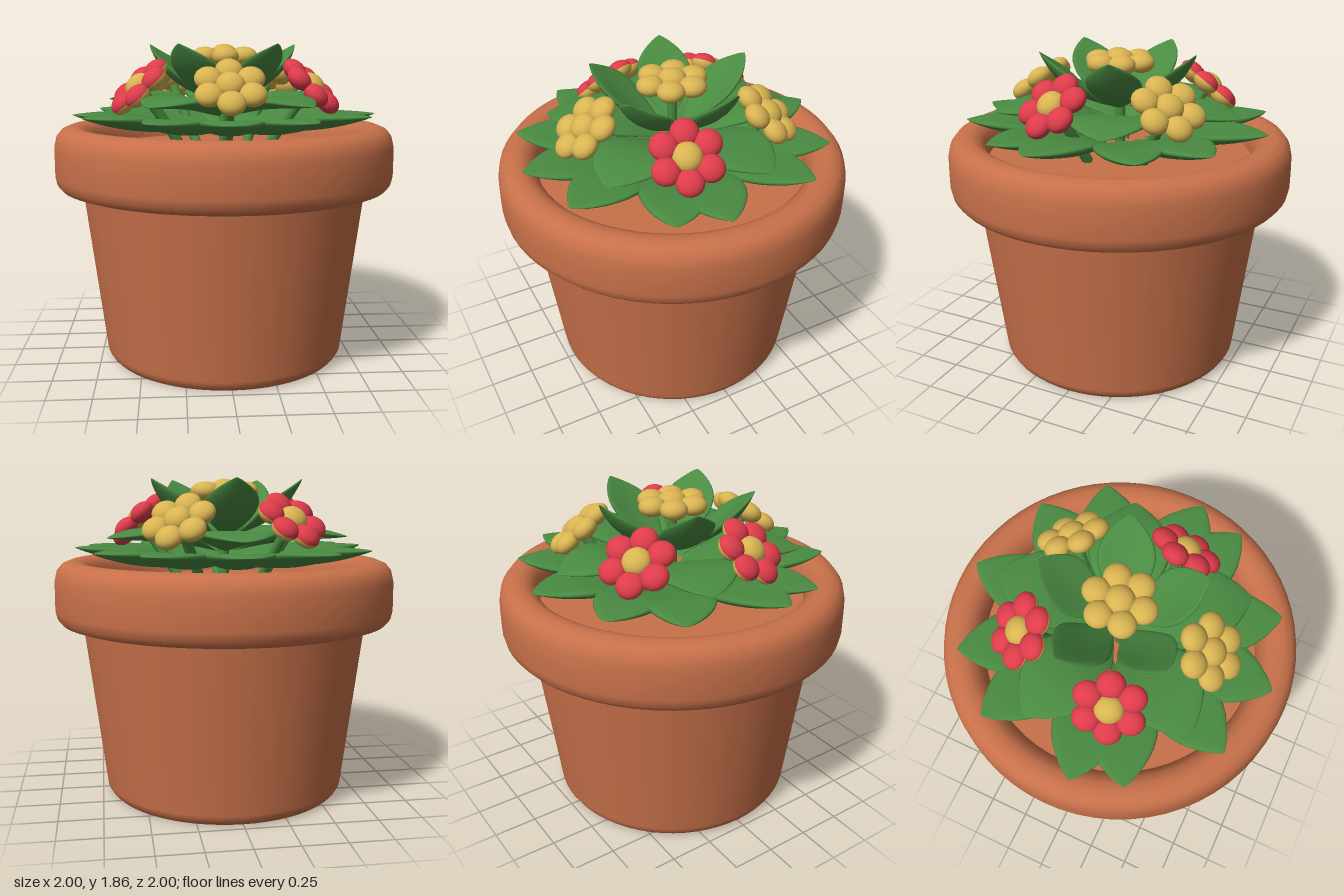
import * as THREE from 'three';
import { mergeVertices } from 'three/addons/utils/BufferGeometryUtils.js';

const mat = (name, color) => {
  const m = new THREE.MeshStandardMaterial({ color });
  m.name = name;
  return m;
};
const rad = THREE.MathUtils.degToRad;

export function createModel() {
  const terracotta = mat('terracotta', 0xc8714a);
  const green = mat('leaf green', 0x4a8b42);
  const yellow = mat('petal yellow', 0xd9b452);
  const red = mat('petal red', 0xde3c4b);
  const model = new THREE.Group();
  model.name = 'pottedPlant';

  const add = (parent, name, geometry, material) => {
    const mesh = new THREE.Mesh(geometry, material);
    mesh.name = name;
    parent.add(mesh);
    return mesh;
  };
  const lathe = (points) =>
    new THREE.LatheGeometry(points.map(([r, y]) => new THREE.Vector2(r, y)), 64);

  // Pot: tapered body, and a heavy rounded rim with a hollow inside
  add(model, 'potBase', new THREE.CircleGeometry(0.69, 64).rotateX(Math.PI / 2), terracotta);
  add(model, 'potBody', lathe([[0.69, 0], [0.705, 0.015], [0.72, 0.04], [0.723, 0.06],
    [0.78, 0.52], [0.84, 1.0], [0.842, 1.04]]), terracotta);
  add(model, 'potRim', lathe([[0.8, 1.025], [0.84, 1.02], [0.92, 1.02], [0.965, 1.035],
    [0.99, 1.065], [1, 1.11], [1, 1.2], [0.998, 1.28], [0.985, 1.335], [0.955, 1.372],
    [0.91, 1.39], [0.86, 1.388], [0.82, 1.37], [0.785, 1.33], [0.77, 1.27], [0.765, 1.2]]), terracotta);
  add(model, 'soil', new THREE.CircleGeometry(0.78, 48).rotateX(-Math.PI / 2).translate(0, 1.25, 0), terracotta);

  // Plump leaf running along +z: rounded base, pointed tip, cupped and arched
  const leafGeometry = ({ r0, y0, r1, y1, half, thick, cup, arch }) => {
    const g = new THREE.SphereGeometry(1, 20, 20).rotateX(Math.PI / 2);
    g.deleteAttribute('uv');
    g.deleteAttribute('normal');
    const p = g.attributes.position;
    const dir = new THREE.Vector2(r1 - r0, y1 - y0);
    const length = dir.length();
    dir.normalize();
    for (let i = 0; i < p.count; i++) {
      const z = p.getZ(i);
      const t = (1 + z) / 2;
      const ring = Math.max(Math.sqrt(Math.max(0, 1 - z * z)), 1e-4);
      const width = Math.pow(Math.max(0, Math.sin(Math.PI * Math.pow(t, 1.2))), 0.8);
      const x = (p.getX(i) / ring) * width * half;
      const h = (p.getY(i) / ring) * width * thick
        + cup * (x / half) ** 2 + arch * Math.sin(Math.PI * t);
      const s = t * length;
      p.setXYZ(i, x, y0 + s * dir.y + h * dir.x, r0 + s * dir.x - h * dir.y);
    }
    const merged = mergeVertices(g, 1e-4);
    merged.computeVertexNormals();
    return merged;
  };

  const leafRing = (name, angles, spec) => {
    const group = new THREE.Group();
    group.name = name;
    const geometry = leafGeometry(spec);
    for (const a of angles) add(group, 'leaf', geometry, green).rotation.y = rad(a);
    model.add(group);
  };

  // Three tiers of leaves, from the rim to the crown
  leafRing('outerLeaves', [0, 28, -28, 64, -64, 82, -82, 120, -120, 146, -146, 180],
    { r0: 0.15, y0: 1.36, r1: 0.89, y1: 1.46, half: 0.19, thick: 0.04, cup: 0.03, arch: 0.0 });
  leafRing('middleLeaves', [36, -36, 108, -108, 180],
    { r0: 0.05, y0: 1.44, r1: 0.73, y1: 1.53, half: 0.23, thick: 0.035, cup: 0.02, arch: 0.05 });
  leafRing('crownLeaves', [36, -36, 108, -108, 180],
    { r0: 0.05, y0: 1.53, r1: 0.46, y1: 1.86, half: 0.155, thick: 0.03, cup: 0.04, arch: -0.04 });

  // Six-petalled flower; the underside of each petal may have its own colour
  const upper = new THREE.SphereGeometry(1, 20, 9, 0, Math.PI * 2, 0, Math.PI / 2);
  const lower = new THREE.SphereGeometry(1, 20, 9, 0, Math.PI * 2, Math.PI / 2, Math.PI / 2);
  const flower = (name, angle, radius, y, tilt, topColor, underColor) => {
    const group = new THREE.Group();
    group.name = name;
    group.rotation.order = 'YXZ';
    group.rotation.set(rad(tilt), rad(angle), 0);
    group.position.set(Math.sin(rad(angle)) * radius, y, Math.cos(rad(angle)) * radius);
    for (let i = 0; i < 6; i++) {
      const petal = new THREE.Group();
      petal.name = 'petal';
      petal.rotation.y = (i * Math.PI) / 3;
      for (const [part, geometry, color] of [['petalTop', upper, topColor], ['petalUnderside', lower, underColor]]) {
        const mesh = add(petal, part, geometry, color);
        mesh.position.z = 0.132;
        mesh.scale.set(0.077, 0.055, 0.077);
      }
      group.add(petal);
    }
    const heart = add(group, 'flowerHeart', new THREE.SphereGeometry(1, 20, 14), yellow);
    heart.scale.set(0.08, 0.06, 0.08);
    heart.position.y = 0.012;
    model.add(group);

    // Stem curving from the middle of the plant up to the flower
    const top = group.position;
    const curve = new THREE.QuadraticBezierCurve3(
      new THREE.Vector3(top.x * 0.5, 1.25, top.z * 0.5),
      new THREE.Vector3(top.x * 0.75, 1.45, top.z * 0.75), top.clone());
    add(model, name + 'Stem', new THREE.TubeGeometry(curve, 8, 0.03, 8), green);
  };

  flower('centreFlower', 0, 0, 1.79, 0, yellow, yellow);
  flower('frontFlower', 0, 0.52, 1.635, 38, yellow, yellow);
  flower('leftFlower', 71, 0.52, 1.62, 43, red, red);
  flower('rightFlower', -71, 0.52, 1.62, 43, red, yellow);
  flower('backLeftFlower', 144, 0.53, 1.63, 40, yellow, yellow);
  flower('backRightFlower', -144, 0.53, 1.63, 40, red, yellow);

  return model;
}
